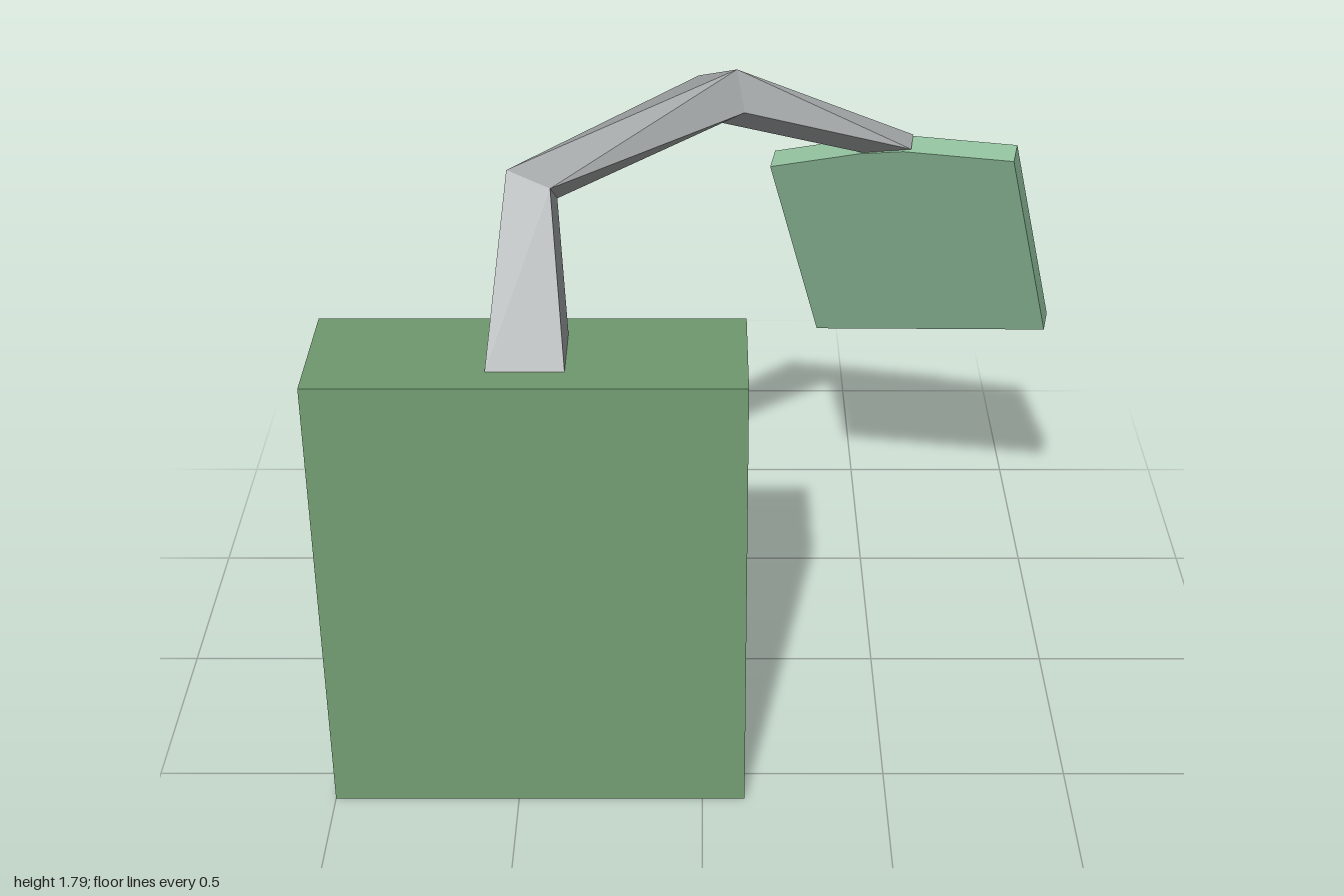
import * as THREE from 'three';

// Joins four-cornered rings (front-left, front-right, back-right, back-left) into a closed solid
function loft(rings) {
  const pos = [];
  const quad = (a, b, c, d) => pos.push(...a, ...b, ...c, ...a, ...c, ...d);
  for (let i = 0; i < rings.length - 1; i++) {
    const lo = rings[i], hi = rings[i + 1];
    for (let j = 0; j < 4; j++) {
      const k = (j + 1) % 4;
      quad(lo[j], lo[k], hi[k], hi[j]);
    }
  }
  const first = rings[0], last = rings[rings.length - 1];
  quad(first[3], first[2], first[1], first[0]);
  quad(...last);
  const g = new THREE.BufferGeometry();
  g.setAttribute('position', new THREE.Float32BufferAttribute(pos, 3));
  g.computeVertexNormals();
  return g;
}

// Level rectangle at height y
const rect = (x0, x1, z0, z1, y) => [[x0, y, z1], [x1, y, z1], [x1, y, z0], [x0, y, z0]];

export function createModel() {
  const group = new THREE.Group();
  const material = (name, color) => {
    const m = new THREE.MeshStandardMaterial({ color, flatShading: true });
    m.name = name;
    return m;
  };
  const add = (name, geometry, mat) => {
    const mesh = new THREE.Mesh(geometry, mat);
    mesh.name = name;
    group.add(mesh);
    return mesh;
  };
  const bodyGreen = material('body green', 0x6f986f);
  const panelGreen = material('pale green', 0x8fbd9a);
  const armGrey = material('arm grey', 0x9ea2a3);

  // Tapered block
  add('body', loft([rect(-1, 0.115, 0, 0.6, 0), rect(-1, 0.115, 0.128, 0.475, 1.24)]), bodyGreen);

  // Bent arm: base, two elbows, and the end that meets the panel
  add('arm', loft([
    rect(-0.545, -0.345, 0.205, 0.395, 1.24),
    [[-0.49, 1.67, 0.132], [-0.38, 1.635, 0.165], [-0.37, 1.56, 0.07], [-0.48, 1.6, 0.04]],
    [[-0.01, 1.75, -0.268], [0.09, 1.79, -0.215], [0.11, 1.69, -0.165], [0, 1.65, -0.215]],
    [[0.45, 1.53, -0.355], [0.57, 1.555, -0.32], [0.56, 1.54, -0.26], [0.44, 1.51, -0.298]],
  ]), armGrey);

  // Tilted panel whose top edge rises slightly where the arm joins
  const w = 0.678, h = 0.648;
  const outline = new THREE.Shape([
    [0, 0], [w, 0], [w, h], [0.385, h + 0.044], [0.262, h + 0.04], [0, h],
  ].map(([x, y]) => new THREE.Vector2(x, y)));
  const panel = add('panel', new THREE.ExtrudeGeometry(outline, { depth: 0.065, bevelEnabled: false })
    .translate(0, 0, -0.065), panelGreen);
  const u = new THREE.Vector3(0.64, 0.11, 0.195).normalize();
  const n = u.clone().cross(new THREE.Vector3(-0.15, 0.61, 0.16)).normalize();
  const v = n.clone().cross(u);
  panel.quaternion.setFromRotationMatrix(new THREE.Matrix4().makeBasis(u, v, n));
  panel.position.set(0.34, 0.82, -0.54);

  return group;
}
